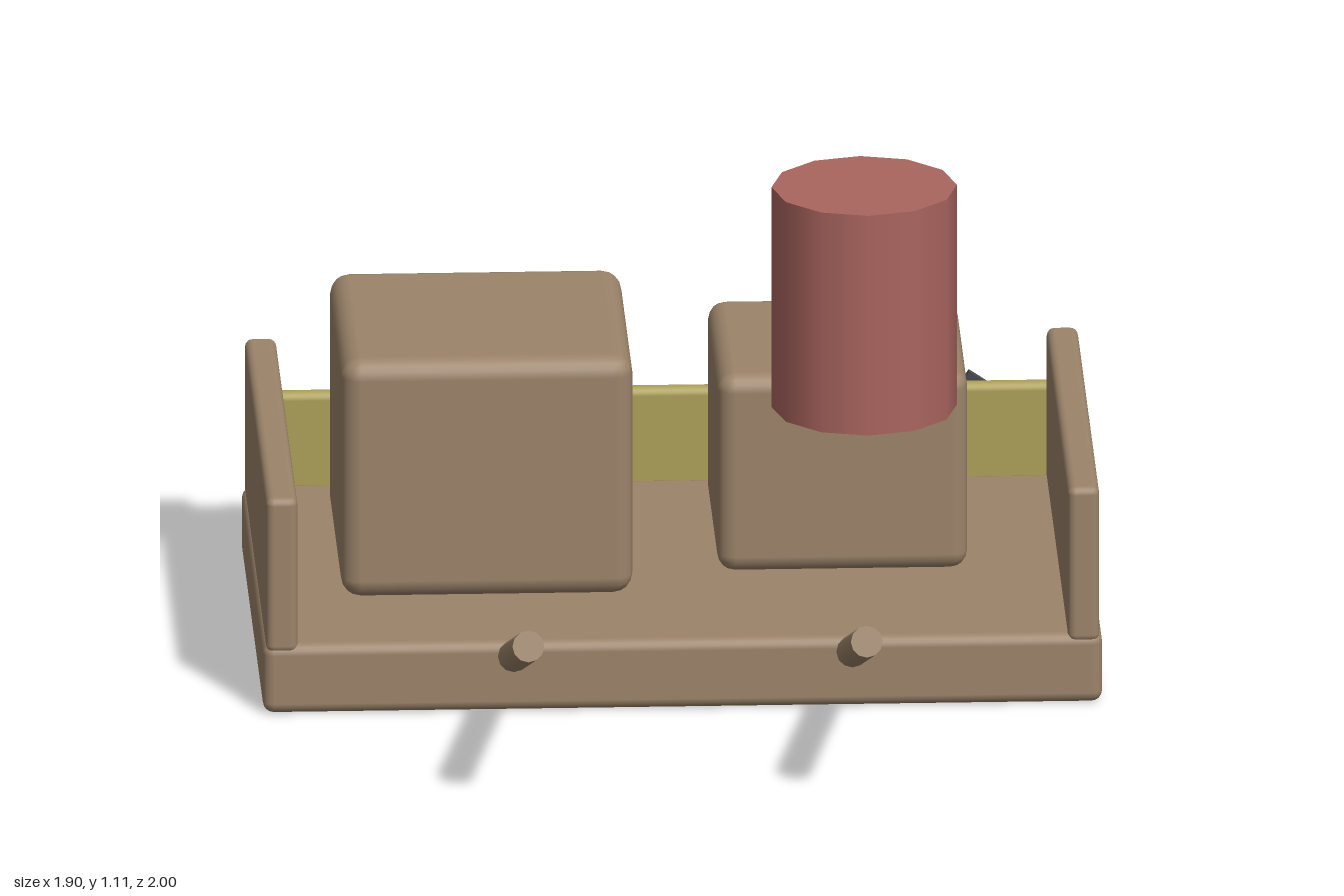
import * as THREE from 'three';
import { RoundedBoxGeometry } from 'three/addons/geometries/RoundedBoxGeometry.js';

const paint = (color) => new THREE.MeshStandardMaterial({ color });

export function createModel() {
  const model = new THREE.Group();
  const wood = paint(0x9c846a);
  const red = paint(0xaa655f);
  const yellow = paint(0xada058);
  const dark = paint(0x45484c);

  function add(name, geometry, material, x, y, z) {
    const mesh = new THREE.Mesh(geometry, material);
    mesh.name = name;
    mesh.position.set(x, y, z);
    model.add(mesh);
    return mesh;
  }

  // Rounded box given by its limits on each axis
  function block(name, [x0, x1], [y0, y1], [z0, z1], radius, material) {
    const geometry = new RoundedBoxGeometry(x1 - x0, y1 - y0, z1 - z0, 2, radius);
    return add(name, geometry, material, (x0 + x1) / 2, (y0 + y1) / 2, (z0 + z1) / 2);
  }

  // Cart bed
  block('bed', [-0.95, 0.95], [0, 0.165], [-0.92, 0.22], 0.025, wood);

  // Side boards and the two sloping pull handles
  const handleStart = new THREE.Vector2(0.227, 0.135); // z, y
  const handleEnd = new THREE.Vector2(0.988, 0.418);
  const handleLength = handleStart.distanceTo(handleEnd);
  const tilt = Math.atan2(handleEnd.x - handleStart.x, handleEnd.y - handleStart.y);
  for (const [side, s] of [['left', 1], ['right', -1]]) {
    block(side + 'SideBoard', s > 0 ? [0.872, 0.943] : [-0.943, -0.872],
      [0.145, 0.515], [-0.92, 0.22], 0.018, wood);
    const middle = handleStart.clone().add(handleEnd).multiplyScalar(0.5);
    const handle = add(side + 'Handle',
      new THREE.CylinderGeometry(0.036, 0.036, handleLength, 12),
      wood, s * 0.383, middle.y, middle.x);
    handle.rotation.x = tilt;
  }

  // Cargo: two crates and a drum
  block('largeCrate', [-0.762, -0.102], [0.187, 0.755], [-0.685, -0.022], 0.045, wood);
  block('smallCrate', [0.096, 0.662], [0.187, 0.658], [-0.735, -0.17], 0.04, wood);
  add('drum', new THREE.CylinderGeometry(0.21, 0.21, 0.525, 12), red, 0.427, 0.852, -0.161);

  // Tailboard with slanted warning stripes
  block('tailboard', [-0.905, 0.905], [0.088, 0.37], [-0.984, -0.943], 0.018, yellow);
  for (let i = 0; i < 4; i++) {
    const stripe = add('warningStripe' + (i + 1), new THREE.BoxGeometry(0.138, 0.29, 0.02),
      dark, -0.675 + i * 0.45, 0.228, -0.99);
    stripe.rotation.z = -0.6;
  }

  return model;
}
